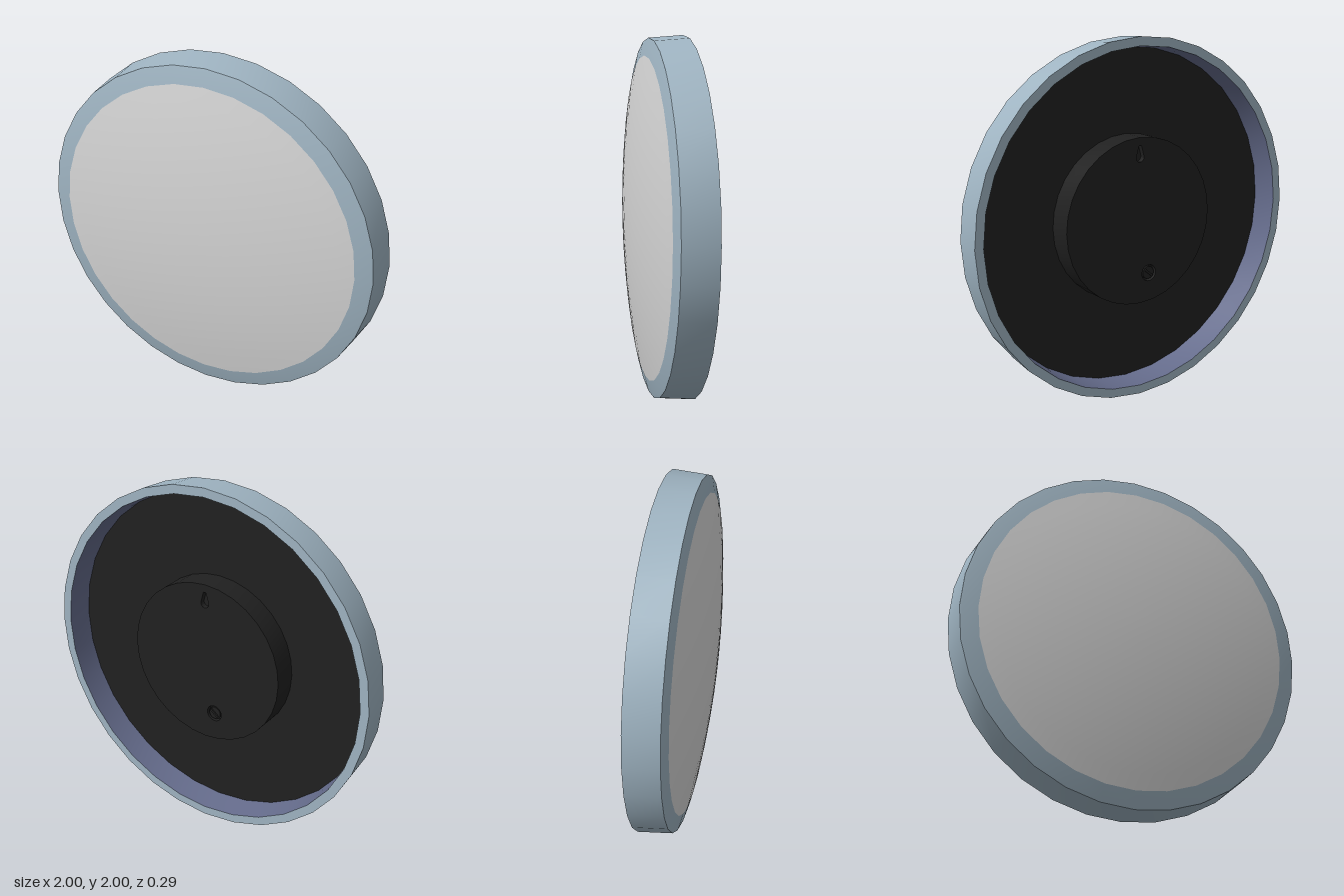
import * as THREE from 'three';
import { toCreasedNormals } from 'three/addons/utils/BufferGeometryUtils.js';

const SEGMENTS = 32;
const mat = (name, color) => {
  const m = new THREE.MeshStandardMaterial({ color });
  m.name = name;
  return m;
};

export function createModel() {
  const blue = mat('blue grey rim', 0x9fb4c2);
  const white = mat('dial white', 0xd6d6d6);
  const slate = mat('inner wall slate', 0x656c8c);
  const black = mat('back black', 0x202020);

  const clock = new THREE.Group();
  clock.name = 'wallClock';
  const body = new THREE.Group();
  body.name = 'body';
  body.position.y = 1;
  clock.add(body);

  const add = (name, geometry, material) => {
    const mesh = new THREE.Mesh(geometry, material);
    mesh.name = name;
    body.add(mesh);
    return mesh;
  };
  // Surface turned about z from a profile of [radius, z] points
  const turn = (name, profile, material) => {
    const g = new THREE.LatheGeometry(profile.map(([r, z]) => new THREE.Vector2(r, z)), SEGMENTS);
    g.rotateX(Math.PI / 2);
    return add(name, toCreasedNormals(g, 0.5), material);
  };

  // Rim: back lip, slightly tapered side, small step and sloping front ring
  turn('rim', [[0.95, -0.145], [1, -0.145], [0.985, 0.045], [0.972, 0.049], [0.89, 0.068]], blue);

  // Shallow domed face
  const dome = [];
  for (let i = 0; i <= 10; i++) {
    const t = 1 - i / 10;
    dome.push([0.89 * t, 0.145 - 0.077 * t * t]);
  }
  turn('face', dome, white);

  // Hollow back
  turn('innerWall', [[0.935, 0], [0.95, -0.145]], slate);
  turn('backPlate', [[0, 0], [0.935, 0]], black);

  // Round movement housing with a hanging slot and a knob recess
  const knobX = -0.06, knobY = -0.3;
  const outline = new THREE.Shape().absarc(0, 0, 0.465, 0, Math.PI * 2);
  const slot = new THREE.Path();
  slot.moveTo(0.008, 0.42);
  slot.lineTo(-0.008, 0.42);
  slot.lineTo(-0.025, 0.36);
  slot.absarc(0, 0.355, 0.025, Math.PI, Math.PI * 2);
  slot.closePath();
  const recess = new THREE.Path().absarc(knobX, knobY, 0.046, 0, Math.PI * 2);
  outline.holes.push(slot, recess);
  const housing = new THREE.ExtrudeGeometry(outline, {
    depth: 0.14, bevelEnabled: false, curveSegments: SEGMENTS / 2,
  });
  housing.translate(0, 0, -0.14);
  add('movementHousing', toCreasedNormals(housing, 0.5), black);

  // Floor closing the slot and the recess
  turn('housingFloor', [[0, -0.11], [0.455, -0.11]], black);

  // Setting knob with a grip bar
  const knob = new THREE.CylinderGeometry(0.036, 0.036, 0.025, 16).rotateX(Math.PI / 2);
  add('settingKnob', knob, black).position.set(knobX, knobY, -0.1225);
  const grip = add('knobGrip', new THREE.BoxGeometry(0.06, 0.012, 0.01), black);
  grip.position.set(knobX, knobY, -0.138);
  grip.rotation.z = 0.7;

  return clock;
}
